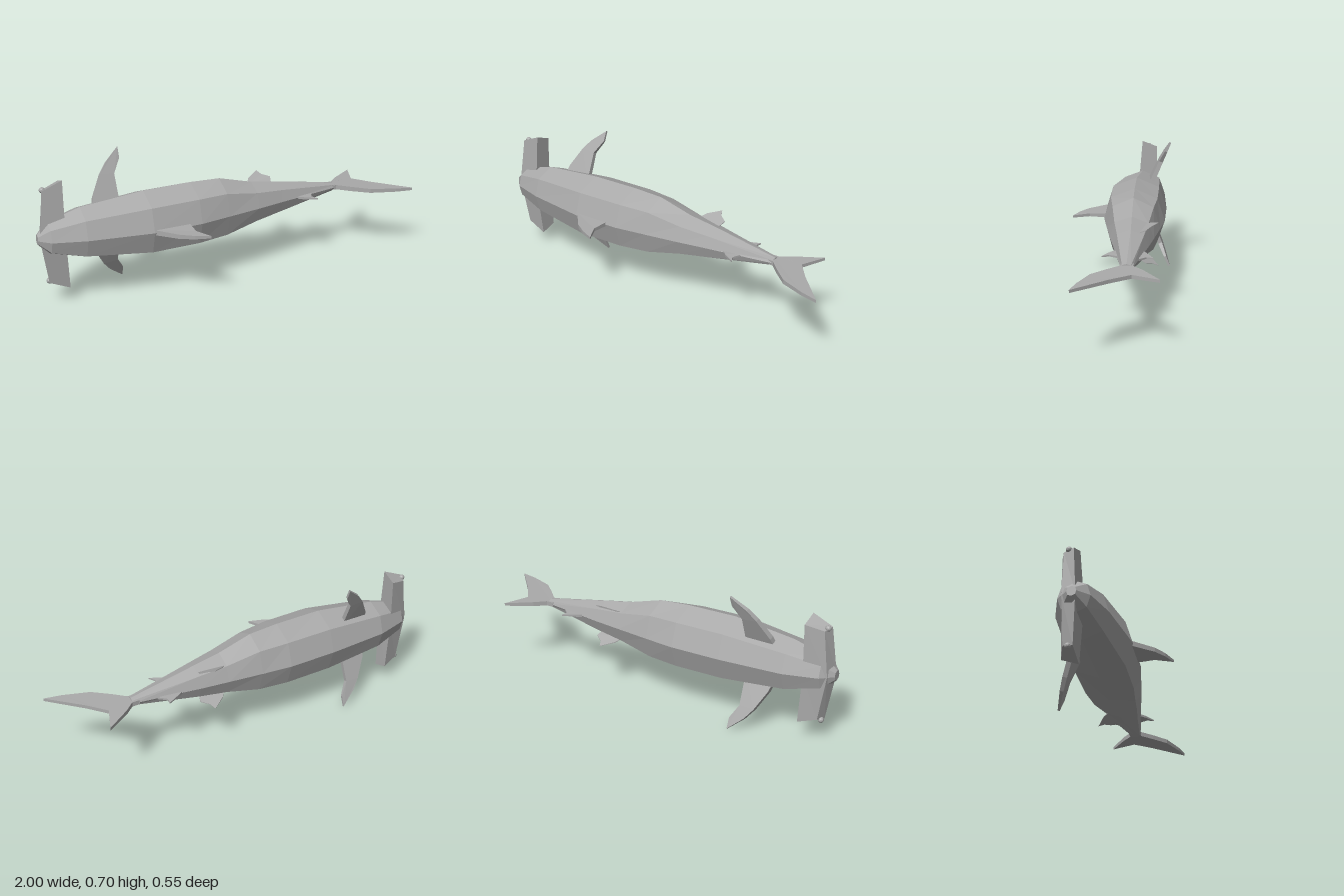
import * as THREE from 'three';

const MID = 0.347; // height of the plane of symmetry

const grey = new THREE.MeshStandardMaterial({ color: 0xaaaaaa, flatShading: true });
grey.name = 'skin grey';

// Geometry from points and triangles, turned so that the faces point outwards
function solid(points, tris) {
  const v = points.map(p => new THREE.Vector3(...p));
  let volume = 0;
  for (const [a, b, c] of tris) volume += v[a].dot(v[b].clone().cross(v[c]));
  const g = new THREE.BufferGeometry().setFromPoints(v);
  g.setIndex(tris.flatMap(([a, b, c]) => (volume < 0 ? [a, c, b] : [a, b, c])));
  g.computeVertexNormals();
  return g;
}

// Closed skin over rings that all have the same number of points
function loft(rings) {
  const n = rings[0].length, last = (rings.length - 1) * n, tris = [];
  for (let r = 0; r < rings.length - 1; r++) {
    for (let i = 0; i < n; i++) {
      const a = r * n + i, b = r * n + (i + 1) % n;
      tris.push([a, b, b + n], [a, b + n, a + n]);
    }
  }
  for (let i = 1; i < n - 1; i++) {
    tris.push([0, i + 1, i], [last, last + i, last + i + 1]);
  }
  return solid(rings.flat(), tris);
}

// Fin from an outline of [x, s, halfThickness]; place(x, s, h) puts it in space
function fin(outline, place) {
  const n = outline.length, tris = [];
  const flat = outline.map(([x, s]) => new THREE.Vector2(x, s));
  const ccw = !THREE.ShapeUtils.isClockWise(flat);
  const points = [1, -1].flatMap(k => outline.map(([x, s, t]) => place(x, s, k * t)));
  for (const [a, b, c] of THREE.ShapeUtils.triangulateShape(flat, [])) {
    tris.push([a, b, c], [a + n, c + n, b + n]);
  }
  for (let i = 0; i < n; i++) {
    const j = (i + 1) % n;
    if (ccw) tris.push([i, i + n, j + n], [i, j + n, j]);
    else tris.push([i, j + n, i + n], [i, j, j + n]);
  }
  return solid(points, tris);
}

export function createModel() {
  const model = new THREE.Group();
  const add = (name, geometry) => {
    const m = new THREE.Mesh(geometry, grey);
    m.name = name;
    model.add(m);
    return m;
  };

  // Body: eight-sided sections [x, belly z, back z, half width]
  const sections = [
    [-1, -0.05, -0.005, 0.025], [-0.945, -0.107, 0.045, 0.082], [-0.78, -0.163, 0.087, 0.13],
    [-0.455, -0.2, 0.123, 0.165], [-0.2, -0.213, 0.105, 0.166], [-0.04, -0.203, 0.072, 0.158],
    [0.14, -0.188, 0.034, 0.108], [0.29, -0.175, -0.002, 0.083], [0.635, -0.135, -0.08, 0.018],
  ];
  const octagon = [[1, 0], [0.78, 0.7], [0, 1], [-0.75, 0.7], [-1, 0], [-0.75, -0.7], [0, -1], [0.78, -0.7]];
  add('body', loft(sections.map(([x, z0, z1, w]) =>
    octagon.map(([k, y]) => [x, MID + w * y, (z0 + z1) / 2 + k * (z1 - z0) / 2]))));

  // Wide head bar: wedge section, with slanted ends
  const headEnd = (side, shift) => [
    [-0.965 + shift, 0.24, -0.03], [-0.862 + shift, 0.283, -0.028],
    [-0.862 + shift, 0.253, -0.111], [-0.95 + shift, 0.23, -0.08],
  ].map(([x, y, z]) => [x, MID + side * y, z]);
  const headMiddle = [[-0.99, MID, -0.012], [-0.865, MID, -0.005], [-0.865, MID, -0.111], [-0.975, MID, -0.08]];
  add('headBar', loft([headEnd(1, 0), headMiddle, headEnd(-1, 0.014)]));

  // Dorsal fin, tail and the small fins on the middle plane, outlined in x and z
  const onMiddle = (x, z, h) => [x, MID + h, z];
  add('dorsalFin', fin([
    [-0.46, 0.09, 0.013], [-0.45, 0.118, 0.013], [-0.36, 0.21, 0.011], [-0.295, 0.248, 0.009],
    [-0.222, 0.274, 0.006], [-0.268, 0.19, 0.008], [-0.265, 0.08, 0.012],
  ], onMiddle));
  add('tailFin', fin([
    [0.6, -0.138, 0.012], [0.64, -0.14, 0.012], [0.69, -0.188, 0.011], [0.812, -0.277, 0.007],
    [0.763, -0.145, 0.009], [0.84, -0.055, 0.009], [0.998, 0.1, 0.007], [0.91, 0.083, 0.009],
    [0.78, 0.04, 0.011], [0.7, -0.025, 0.012], [0.64, -0.08, 0.012], [0.6, -0.08, 0.012],
  ], onMiddle));
  add('secondDorsalFin', fin([
    [0.37, -0.04, 0.006], [0.41, -0.005, 0.006], [0.475, 0.03, 0.003], [0.455, -0.005, 0.004], [0.48, -0.06, 0.005],
  ], onMiddle));
  add('analFin', fin([
    [0.37, -0.15, 0.006], [0.4, -0.172, 0.006], [0.478, -0.216, 0.003], [0.473, -0.182, 0.004], [0.51, -0.15, 0.005],
  ], onMiddle));

  for (const [side, label] of [[1, 'upper'], [-1, 'lower']]) {
    // Pectoral fin: swept back and leaning towards the belly
    add(label + 'PectoralFin', fin([
      [-0.71, 0.08, 0.012], [-0.693, 0.14, 0.012], [-0.64, 0.235, 0.011], [-0.6, 0.285, 0.009],
      [-0.525, 0.347, 0.005], [-0.525, 0.295, 0.006], [-0.565, 0.23, 0.01], [-0.56, 0.08, 0.012],
    ], (x, s, h) => [x, MID + side * (s + 0.4 * h), -0.108 - 0.42 * (s - 0.14) - 0.1 * (x + 0.69) + h]));

    // Thin pelvic fin
    add(label + 'PelvicFin', fin([
      [0.14, -0.13, 0.002], [0.17, -0.175, 0.002], [0.235, -0.218, 0.001],
      [0.25, -0.19, 0.001], [0.29, -0.165, 0.002], [0.28, -0.13, 0.002],
    ], (x, z, h) => [x, MID + side * (0.066 - 0.48 * (z + 0.13) + h), z]));

    // Eye at the end of the head bar
    add(label + 'Eye', new THREE.IcosahedronGeometry(0.015, 1))
      .position.set(side > 0 ? -0.955 : -0.945, MID + side * 0.238, -0.055);
  }
  return model;
}
